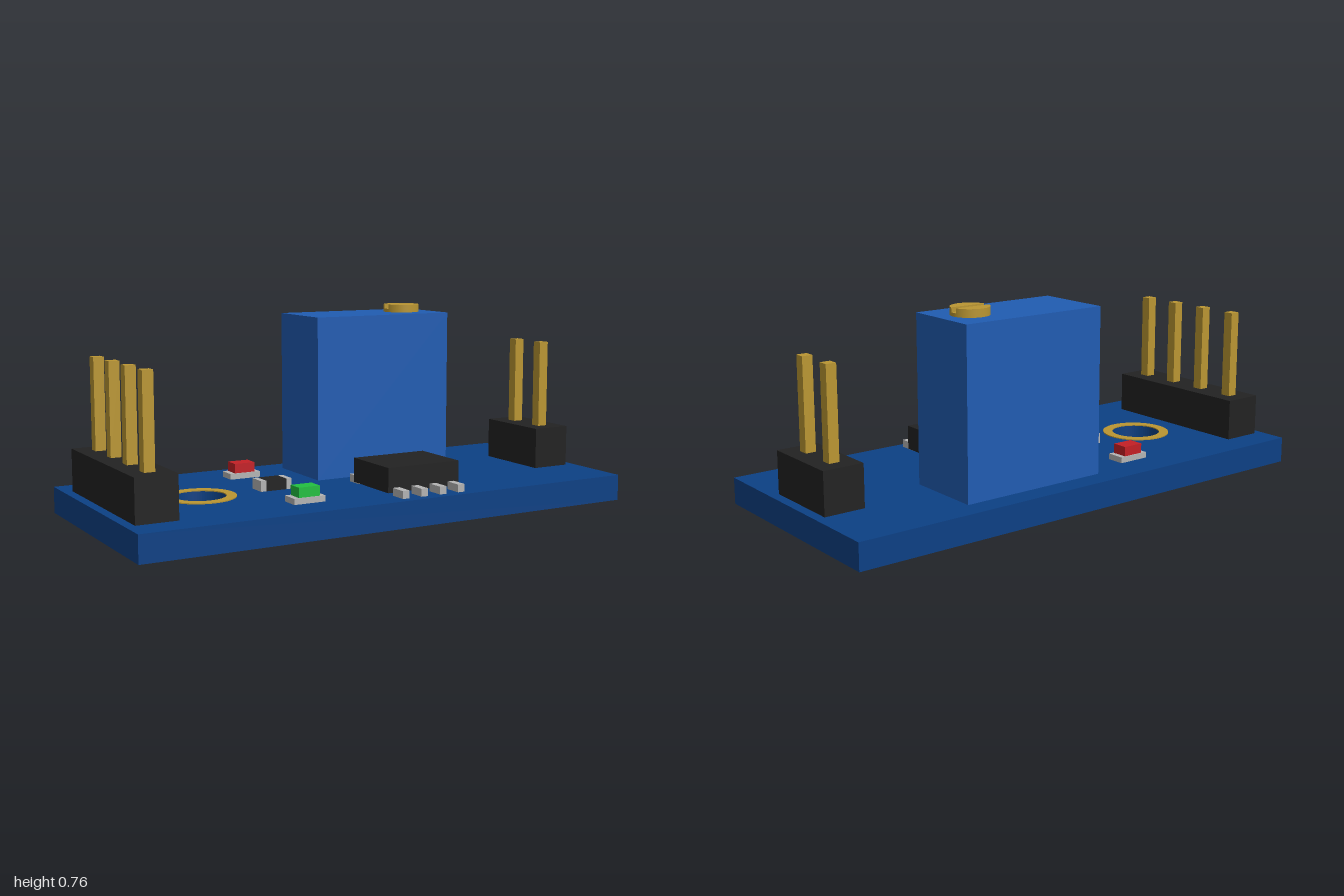
import * as THREE from 'three';

const mat = (name, color) => {
  const m = new THREE.MeshStandardMaterial({ color });
  m.name = name;
  return m;
};

export function createModel() {
  const boardBlue = mat('board blue', 0x0c4084);
  const casingBlue = mat('casing blue', 0x205cb2);
  const black = mat('black plastic', 0x222222);
  const gold = mat('gold', 0xba9632);
  const silver = mat('silver', 0xb4b4b4);
  const red = mat('red lens', 0xc42026);
  const green = mat('green lens', 0x22c040);

  const model = new THREE.Group();
  model.name = 'circuitModule';

  const add = (parent, name, geometry, material) => {
    const mesh = new THREE.Mesh(geometry, material);
    mesh.name = name;
    parent.add(mesh);
    return mesh;
  };
  // Box given by its low and high limits on each axis
  const box = (parent, name, material, [x0, x1], [y0, y1], [z0, z1]) => {
    const mesh = add(parent, name, new THREE.BoxGeometry(x1 - x0, y1 - y0, z1 - z0), material);
    mesh.position.set((x0 + x1) / 2, (y0 + y1) / 2, (z0 + z1) / 2);
    return mesh;
  };
  const group = (name, x = 0, y = 0, z = 0) => {
    const g = new THREE.Group();
    g.name = name;
    g.position.set(x, y, z);
    model.add(g);
    return g;
  };
  // Shape in plan, raised along y
  const slab = (shape, depth) =>
    new THREE.ExtrudeGeometry(shape, { depth, bevelEnabled: false, curveSegments: 32 }).rotateX(-Math.PI / 2);
  const hole = (x, r) => new THREE.Path().absarc(x, 0, r, 0, Math.PI * 2, true);

  const TOP = 0.1;
  const HOLE_X = -0.595;
  const HOLE_R = 0.096;

  // Board with mounting hole
  const outline = new THREE.Shape([[-1, -0.437], [1, -0.437], [1, 0.437], [-1, 0.437]]
    .map(([x, y]) => new THREE.Vector2(x, y)));
  outline.holes.push(hole(HOLE_X, HOLE_R));
  add(model, 'board', slab(outline, TOP), boardBlue);

  // Plated ring around the hole
  const ring = new THREE.Shape().absarc(HOLE_X, 0, 0.134, 0, Math.PI * 2, false);
  ring.holes.push(hole(HOLE_X, HOLE_R));
  add(model, 'mountingRing', slab(ring, 0.004), gold).position.y = TOP;

  // Pin headers
  const header = (name, x, count) => {
    const g = group(name, x, TOP, 0);
    const half = count * 0.08;
    box(g, 'headerBase', black, [-0.078, 0.078], [0, 0.16], [-half, half]);
    for (let i = 0; i < count; i++) {
      const z = (i - (count - 1) / 2) * 0.16;
      box(g, 'pin', gold, [-0.02, 0.02], [0.15, 0.503], [z - 0.02, z + 0.02]);
    }
  };
  header('rightHeader', -0.887, 4);
  header('leftHeader', 0.885, 2);

  // Trimmer casing and slotted screw
  const trimmer = group('trimmer');
  box(trimmer, 'trimmerCasing', casingBlue, [-0.08, 0.512], [TOP, 0.727], [-0.35, -0.05]);
  const screw = group('adjustmentScrew', 0.388, 0.727, -0.2);
  const R = 0.071;
  add(screw, 'screwBase', new THREE.CylinderGeometry(R, R, 0.013, 32), gold).position.y = 0.0065;
  const a = Math.asin(0.014 / R);
  for (const turn of [0, Math.PI]) {
    const half = new THREE.Shape().absarc(0, 0, R, a, Math.PI - a, false);
    half.closePath();
    const mesh = add(screw, 'screwHalf', slab(half, 0.017), gold);
    mesh.position.y = 0.013;
    mesh.rotation.y = turn;
  }

  // Eight-legged chip
  const chip = group('chip', 0.153, TOP, 0.212);
  box(chip, 'chipBody', black, [-0.154, 0.154], [0.011, 0.104], [-0.122, 0.122]);
  for (let i = 0; i < 4; i++) {
    const x = (i - 1.5) * 0.08;
    for (const [z0, z1] of [[0.122, 0.19], [-0.19, -0.122]]) {
      box(chip, 'chipLeg', silver, [x - 0.014, x + 0.014], [0, 0.029], [z0, z1]);
    }
  }

  // Indicator lights
  const indicator = (name, z, lens) => {
    const g = group(name, -0.303, TOP, z);
    box(g, 'lightBase', silver, [-0.063, 0.063], [0, 0.022], [-0.036, 0.036]);
    box(g, 'lens', lens, [-0.042, 0.042], [0.022, 0.059], [-0.031, 0.031]);
  };
  indicator('redLight', -0.267, red);
  indicator('greenLight', 0.262, green);

  // Resistor with metal end caps
  const resistor = group('resistor', -0.303, TOP, 0);
  box(resistor, 'resistorBody', black, [-0.042, 0.042], [0, 0.04], [-0.036, 0.036]);
  for (const [x0, x1] of [[-0.063, -0.042], [0.042, 0.063]]) {
    box(resistor, 'resistorCap', silver, [x0, x1], [0, 0.04], [-0.036, 0.036]);
  }

  return model;
}
